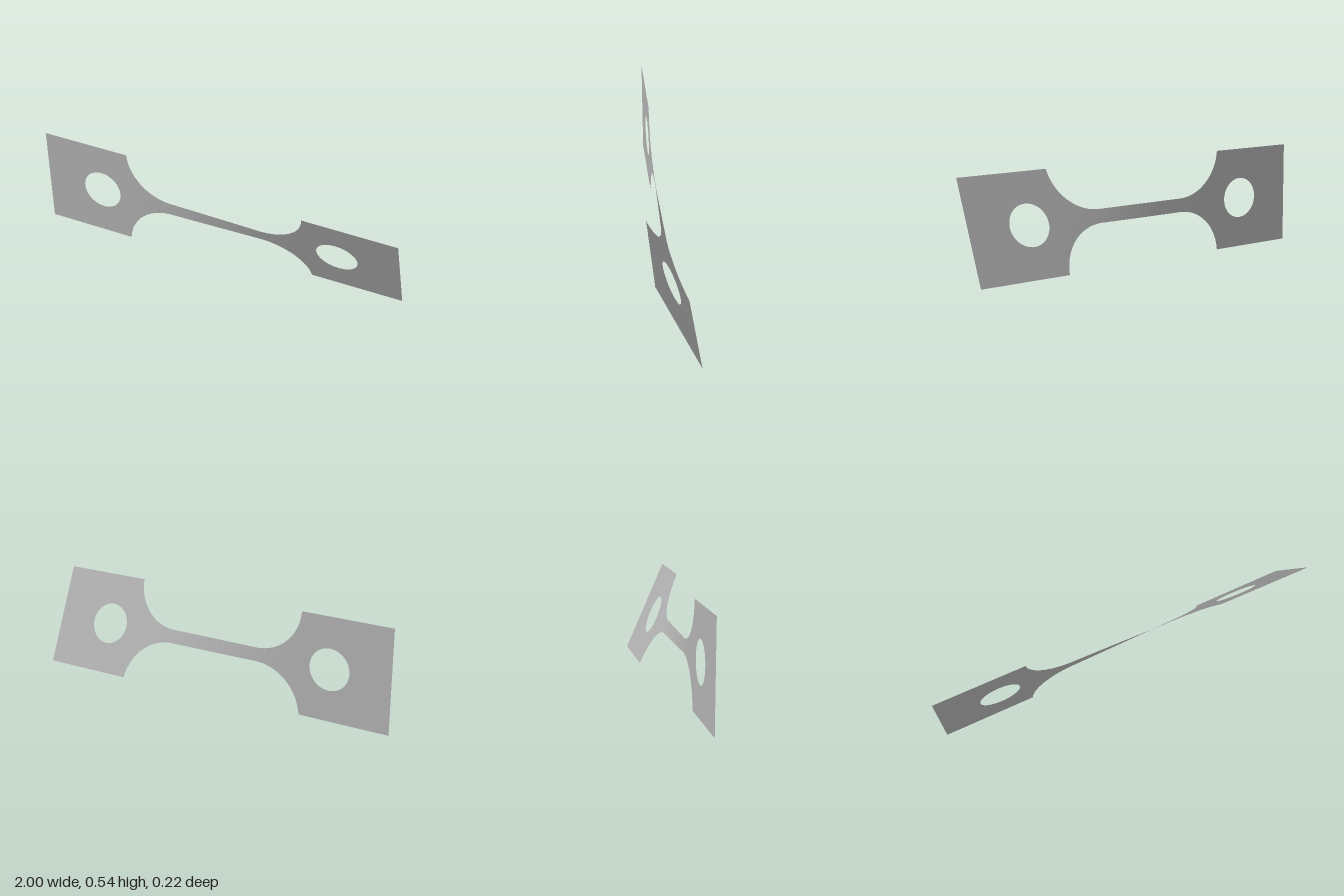
import * as THREE from 'three';

const HALF = 0.271;      // half height of the end plates
const NECK = 0.036;      // half height of the neck
const R = 0.255;         // fillet radius
const FX = 0.255;        // x of the fillet centres
const FY = NECK + R;     // height of the fillet centres above the axis
const SWEEP = Math.acos((FY - HALF) / R);
const EDGE = FX + R * Math.sin(SWEEP); // where the end plates begin

// Twist angle in degrees along the strip, concentrated in the neck
const TWIST = [[-1, 0.6], [-0.51, 1], [-0.38, 2.2], [-0.25, 4.2], [0.25, 20.4], [0.38, 22.2], [0.51, 23], [1, 23.6]];
function twistAt(x) {
  let i = 0;
  while (i < TWIST.length - 2 && x > TWIST[i + 1][0]) i++;
  const [x0, a0] = TWIST[i], [x1, a1] = TWIST[i + 1];
  return THREE.MathUtils.degToRad(a0 + (a1 - a0) * (x - x0) / (x1 - x0));
}

// Turn every vertex about the long axis and lift the strip onto the ground
function twist(geometry) {
  const p = geometry.attributes.position;
  for (let i = 0; i < p.count; i++) {
    const a = twistAt(p.getX(i)), y = p.getY(i);
    p.setXYZ(i, p.getX(i), HALF + y * Math.cos(a), y * Math.sin(a));
  }
  geometry.computeVertexNormals();
  return geometry;
}

// Rectangular end plate with a round hole
function endPlate(side) {
  const s = new THREE.Shape();
  const a = Math.min(side, side * EDGE), b = Math.max(side, side * EDGE);
  s.moveTo(a, -HALF).lineTo(b, -HALF).lineTo(b, HALF).lineTo(a, HALF).closePath();
  const hole = new THREE.Path();
  hole.absarc(side * 0.67, 0, 0.109, 0, Math.PI * 2, true);
  s.holes.push(hole);
  return twist(new THREE.ShapeGeometry(s, 32));
}

// Narrow neck flaring through round fillets into both plates
function neck() {
  const stations = [];
  const N = 24;
  for (let i = N; i >= 0; i--) {
    const t = SWEEP * i / N;
    stations.push([-FX - R * Math.sin(t), FY - R * Math.cos(t)]);
  }
  for (let i = 1; i < N; i++) stations.push([-FX + 2 * FX * i / N, NECK]);
  for (let i = 0; i <= N; i++) {
    const t = SWEEP * i / N;
    stations.push([FX + R * Math.sin(t), FY - R * Math.cos(t)]);
  }
  const rows = 6;
  const g = new THREE.PlaneGeometry(1, 2, stations.length - 1, rows);
  const p = g.attributes.position;
  for (let i = 0; i < p.count; i++) {
    const [x, h] = stations[i % stations.length];
    p.setXY(i, x, p.getY(i) * h);
  }
  return twist(g);
}

export function createModel() {
  const group = new THREE.Group();
  group.name = 'twistedTestStrip';
  const metal = new THREE.MeshStandardMaterial({ color: 0xb0b0b0, side: THREE.DoubleSide });
  metal.name = 'grey metal';
  const add = (name, geometry) => {
    const mesh = new THREE.Mesh(geometry, metal);
    mesh.name = name;
    group.add(mesh);
  };
  add('rightEndPlate', endPlate(-1));
  add('neck', neck());
  add('leftEndPlate', endPlate(1));
  return group;
}
